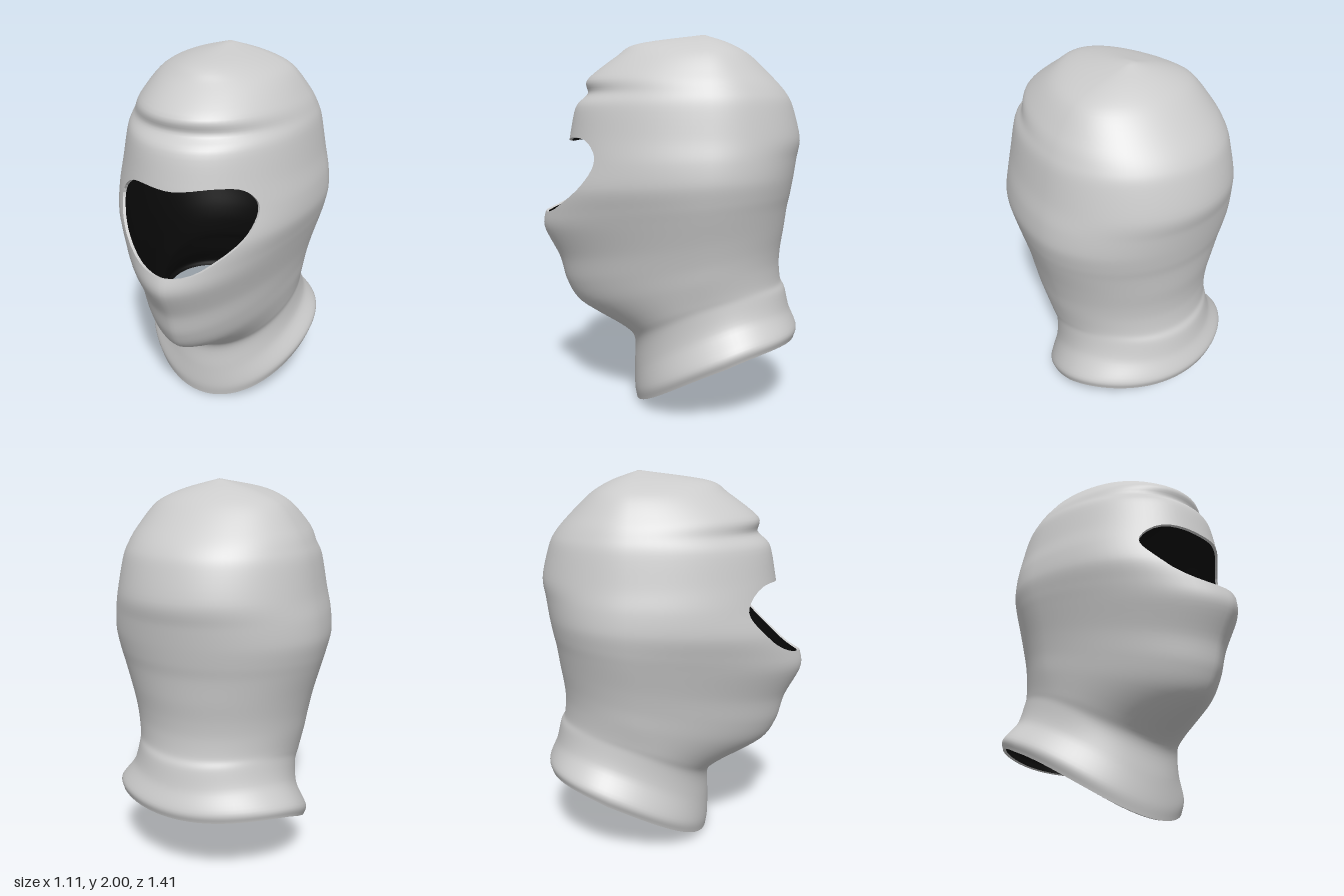
import * as THREE from 'three';

// Cross-sections from hem to crown: [height at front, front z, back z, half width]
const RINGS = [
  [0, 0.19, -0.69, 0.5],
  [0.07, 0.2, -0.7, 0.51],
  [0.2, 0.2, -0.66, 0.44],
  [0.34, 0.2, -0.635, 0.42],
  [0.41, 0.26, -0.61, 0.425],
  [0.54, 0.5, -0.6, 0.445],
  [0.66, 0.58, -0.605, 0.46],
  [0.8, 0.62, -0.62, 0.485],
  [0.96, 0.7, -0.635, 0.52],
  [1.06, 0.69, -0.65, 0.54],
  [1.18, 0.64, -0.665, 0.555],
  [1.32, 0.57, -0.68, 0.545],
  [1.46, 0.545, -0.695, 0.52],
  [1.62, 0.51, -0.655, 0.49],
  [1.69, 0.445, -0.62, 0.465],
  [1.765, 0.445, -0.555, 0.425],
  [1.885, 0.29, -0.43, 0.33],
  [1.95, 0.18, -0.32, 0.19],
  [2, -0.18, -0.18, 0],
];

// Eye opening outline as seen from the front, anticlockwise
const EYE = [
  [0.37, 1.314], [0.36, 1.383], [0.3, 1.447], [0.2, 1.463], [0, 1.44], [-0.255, 1.43],
  [-0.345, 1.325], [-0.28, 1.18], [-0.175, 1.097], [-0.03, 1.06], [0.13, 1.065], [0.22, 1.113], [0.33, 1.21],
];
const EYE_Y = 1.28;
const COLS = 80, ROWS = 100, THICK = 0.015;
const { smoothstep } = THREE.MathUtils;

// Point on one cross-section at an angle measured from the front towards +x
function ringPoint([y, front, back, width], angle) {
  const s = Math.sin(angle), c = Math.cos(angle);
  // Low sections rise towards the back; the jaw and nose come to a softer point
  const rise = 0.385 * Math.max(0, 1 - y / 1.45);
  const mid = -0.18 - 0.12 * Math.max(0, 1 - y / 0.5);
  const roundness = 2 - 0.4 * smoothstep(y, 0.38, 0.56) * (1 - smoothstep(y, 0.95, 1.32));
  const e = c > 0 ? 2 / roundness : 1;
  return new THREE.Vector3(
    width * Math.sign(s) * Math.abs(s) ** e,
    y + rise * (0.85 - 0.5 * c - 0.35 * c * c),
    c > 0 ? mid + (front - mid) * c ** e : mid + (mid - back) * c,
  );
}

// Smooth closed skin over the cross-sections, as a list of vertices with normals
function buildSkin() {
  const positions = [], index = [], columns = [];
  for (let j = 0; j < COLS; j++) {
    const angle = j / COLS * Math.PI * 2;
    columns.push(new THREE.CatmullRomCurve3(RINGS.map((r) => ringPoint(r, angle)), false, 'catmullrom', 0.45));
  }
  for (let i = 0; i < ROWS; i++) {
    for (const curve of columns) positions.push(...curve.getPoint(i / ROWS).toArray());
  }
  const crown = ROWS * COLS;
  positions.push(...columns[0].getPoint(1).toArray());
  for (let i = 0; i < ROWS; i++) {
    for (let j = 0; j < COLS; j++) {
      const a = i * COLS + j, b = i * COLS + (j + 1) % COLS;
      if (i === ROWS - 1) index.push(a, b, crown);
      else index.push(a, b, b + COLS, a, b + COLS, a + COLS);
    }
  }
  const geo = new THREE.BufferGeometry();
  geo.setAttribute('position', new THREE.Float32BufferAttribute(positions, 3));
  geo.setIndex(index);
  geo.computeVertexNormals();
  const { position, normal } = geo.attributes;
  const verts = Array.from({ length: crown + 1 }, (_, i) => ({
    p: new THREE.Vector3().fromBufferAttribute(position, i),
    n: new THREE.Vector3().fromBufferAttribute(normal, i),
  }));
  return { verts, index };
}

// Distance from the eye opening's edge: negative inside it
function makeEyeTest() {
  const curve = new THREE.CatmullRomCurve3(EYE.map(([x, y]) => new THREE.Vector3(x, y - EYE_Y, 0)), true);
  const polar = curve.getPoints(200).slice(0, -1)
    .map((q) => [Math.atan2(q.y, q.x), Math.hypot(q.x, q.y)])
    .sort((a, b) => a[0] - b[0]);
  const first = polar[0], last = polar[polar.length - 1];
  polar.unshift([last[0] - 2 * Math.PI, last[1]]);
  polar.push([first[0] + 2 * Math.PI, first[1]]);
  return ({ p }) => {
    if (p.z < 0) return 1;
    const t = Math.atan2(p.y - EYE_Y, p.x);
    const k = Math.max(1, polar.findIndex((q) => q[0] >= t));
    const [a, b] = [polar[k - 1], polar[k]];
    const r = a[1] + (b[1] - a[1]) * (t - a[0]) / (b[0] - a[0]);
    return Math.hypot(p.x, p.y - EYE_Y) - r;
  };
}

const mix = (a, b, t) => ({ p: a.p.clone().lerp(b.p, t), n: a.n.clone().lerp(b.n, t).normalize() });
const inset = (v) => ({ p: v.p.clone().addScaledVector(v.n, -THICK), n: v.n.clone().negate() });

function meshFrom(name, verts, color, smooth, side = THREE.FrontSide) {
  const geo = new THREE.BufferGeometry();
  geo.setAttribute('position', new THREE.Float32BufferAttribute(verts.flatMap((v) => v.p.toArray()), 3));
  if (smooth) geo.setAttribute('normal', new THREE.Float32BufferAttribute(verts.flatMap((v) => v.n.toArray()), 3));
  else geo.computeVertexNormals();
  const mesh = new THREE.Mesh(geo, new THREE.MeshStandardMaterial({ color, side }));
  mesh.name = name;
  return mesh;
}

export function createModel() {
  const { verts, index } = buildSkin();
  const dist = verts.map(makeEyeTest());
  const outer = [], lining = [], eyeRim = [], hem = [];
  const addRim = (list, a, b) => {
    const c = inset(a), d = inset(b);
    list.push(a, b, d, a, d, c);
  };

  // Keep the part of every triangle that lies outside the eye opening
  for (let t = 0; t < index.length; t += 3) {
    const poly = [], cut = [];
    for (let e = 0; e < 3; e++) {
      const a = index[t + e], b = index[t + (e + 1) % 3];
      if (dist[a] >= 0) poly.push(verts[a]);
      if ((dist[a] >= 0) !== (dist[b] >= 0)) {
        const v = mix(verts[a], verts[b], dist[a] / (dist[a] - dist[b]));
        poly.push(v);
        cut.push(v);
      }
    }
    for (let k = 1; k + 1 < poly.length; k++) {
      outer.push(poly[0], poly[k], poly[k + 1]);
      lining.push(...[poly[0], poly[k + 1], poly[k]].map(inset));
    }
    if (cut.length === 2) addRim(eyeRim, cut[0], cut[1]);
  }

  // Edge of the neck opening
  for (let j = 0; j < COLS; j++) addRim(hem, verts[j], verts[(j + 1) % COLS]);

  const group = new THREE.Group();
  group.name = 'faceMask';
  group.add(
    meshFrom('outerFabric', outer, 0xcccccc, true),
    meshFrom('innerLining', lining, 0x0a0a0a, true),
    meshFrom('eyeOpeningRim', eyeRim, 0xcccccc, false, THREE.DoubleSide),
    meshFrom('neckHem', hem, 0xcccccc, false, THREE.DoubleSide),
  );
  return group;
}
